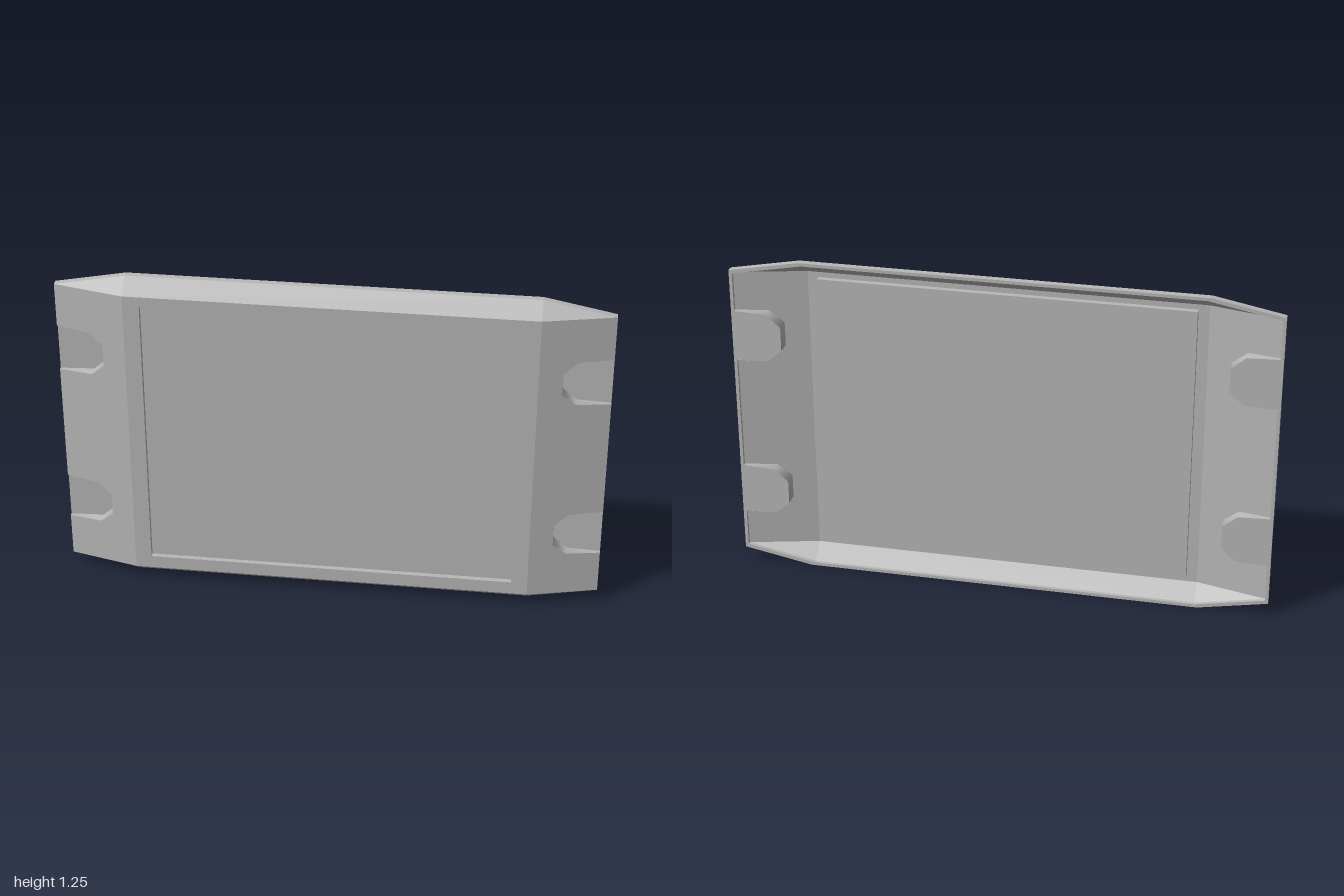
import * as THREE from 'three';

const MID = 0.625;                 // height of the plate centre
const T = 0.012;                   // sheet thickness
const BACK = -0.045;               // rear edge of the rim
const POCKET = -0.031;             // floor of the edge pockets
const PANEL = 0.026;               // floor of the sunken panel
const NOTCH_Y = [0.3175, -0.3175]; // pocket centres, measured from MID

const gray = new THREE.MeshStandardMaterial({ color: 0xb8b8b8, side: THREE.DoubleSide });
gray.name = 'plate gray';

// Bevelled sheet height, inset by t; x, y measured from the plate centre
const sheet = (t) => (x, y) => 0.045 - t
  - 0.25 * Math.max(0, Math.abs(x) - 0.74 + t)
  - 1.3 * Math.max(0, Math.abs(y) - 0.575 + t);

const toPath = (pts) => pts.map(([x, y]) => new THREE.Vector2(x, y));

const rect = (w, top, bottom) => [[-w, bottom], [w, bottom], [w, top], [-w, top]];

const panelRect = (g) => rect(0.68 + g, 0.535 + g, -0.525 - g);

// Pocket outline, top to bottom, on side s, starting at the edge x
const notch = (s, cy, x, g) => [
  [x, 0.09 + g], [0.875 - g / 2, 0.085 + g], [0.825 - g, 0.042 + g / 2],
  [0.825 - g, -0.042 - g / 2], [0.875 - g / 2, -0.085 - g], [x, -0.09 - g],
].map(([px, py]) => [s * px, cy + py]);

// Eight-sided outline of the plate, inset by t
const outline = (t) => {
  const a = 0.74 - t, b = 1 - t, c = 0.575 - t, d = 0.625 - t;
  return [[a, d], [b, c], [b, -c], [a, -d], [-a, -d], [-b, -c], [-b, c], [-a, d]];
};

function add(group, name, geometry) {
  const mesh = new THREE.Mesh(geometry, gray);
  mesh.name = name;
  group.add(mesh);
}

// Flat polygon lifted onto a height function
function face(group, name, pts, height, hole) {
  const shape = new THREE.Shape(toPath(pts));
  if (hole) shape.holes.push(new THREE.Path(toPath(hole)));
  const geo = new THREE.ShapeGeometry(shape);
  const p = geo.attributes.position;
  for (let i = 0; i < p.count; i++) p.setZ(i, height(p.getX(i), p.getY(i)));
  geo.computeVertexNormals();
  add(group, name, geo);
}

// Strip of wall along a path between two height functions
function wall(group, name, pts, from, to, smooth = false) {
  const pos = [], index = [];
  pts.forEach(([x, y], i) => {
    pos.push(x, y, from(x, y), x, y, to(x, y));
    const k = i * 2;
    if (i < pts.length - 1) index.push(k, k + 1, k + 2, k + 2, k + 1, k + 3);
  });
  let geo = new THREE.BufferGeometry();
  geo.setAttribute('position', new THREE.Float32BufferAttribute(pos, 3));
  geo.setIndex(index);
  if (!smooth) geo = geo.toNonIndexed();
  geo.computeVertexNormals();
  add(group, name, geo);
}

// One skin of the pressed sheet: front (t = 0) or back (t = T)
function buildSkin(name, t, g, panelZ, pocketZ) {
  const skin = new THREE.Group();
  skin.name = name;
  const z = sheet(t);
  const a = 0.74 - t, b = 1 - t, c = 0.575 - t, d = 0.625 - t;
  const panelFloor = () => panelZ, pocketFloor = () => pocketZ;

  // Sunken centre panel and its surround
  const panel = panelRect(g);
  face(skin, 'surround', rect(a, c, -c), z, panel);
  face(skin, 'panel', panel, panelFloor);
  wall(skin, 'panelWall', [...panel, panel[0]], z, panelFloor);

  for (const s of [1, -1]) {
    // Long bevel at the top or bottom
    face(skin, s > 0 ? 'topBevel' : 'bottomBevel',
      [[-a, s * c], [a, s * c], [a, s * d], [-a, s * d]], z);
    for (const v of [1, -1]) {
      face(skin, 'cornerBevel', [[s * a, v * c], [s * b, v * c], [s * a, v * d]], z);
    }
    // Side slope with the two pockets cut out of its edge
    const cuts = NOTCH_Y.map((cy) => notch(s, cy, b, g));
    face(skin, s > 0 ? 'leftSlope' : 'rightSlope',
      [[s * a, c], [s * b, c], ...cuts.flat(), [s * b, -c], [s * a, -c]], z);
    NOTCH_Y.forEach((cy, i) => {
      wall(skin, 'pocketWall', cuts[i], z, pocketFloor, true);
      face(skin, 'pocketFloor', notch(s, cy, 1, g), pocketFloor);
    });
  }
  return skin;
}

// Rim around the plate, lowered where the pockets open
function buildRim() {
  const rim = new THREE.Group();
  rim.name = 'rim';
  const back = () => BACK, low = () => POCKET;
  const outer = outline(0), inner = outline(T);

  for (const s of [1, -1]) {
    let y = 0.575;
    for (const cy of NOTCH_Y) {
      wall(rim, 'sideRim', [[s, y], [s, cy + 0.09]], sheet(0), back);
      wall(rim, 'pocketSill', [[s, cy + 0.09], [s, cy - 0.09]], low, back);
      y = cy - 0.09;
    }
    wall(rim, 'sideRim', [[s, y], [s, -0.575]], sheet(0), back);
    wall(rim, 'endRim', [[-1, s * 0.575], [-0.74, s * 0.625], [0.74, s * 0.625], [1, s * 0.575]],
      sheet(0), back);
  }
  wall(rim, 'innerRim', [...inner, inner[0]], sheet(T), back);
  face(rim, 'rearEdge', outer, back, inner);
  return rim;
}

export function createModel() {
  const model = new THREE.Group();
  model.name = 'pressedPlate';
  const plate = new THREE.Group();
  plate.name = 'plate';
  plate.position.y = MID;
  plate.add(
    buildSkin('frontSkin', 0, 0, PANEL, POCKET),
    buildSkin('backSkin', T, 0.008, PANEL - 0.014, BACK),
    buildRim(),
  );
  model.add(plate);
  return model;
}
